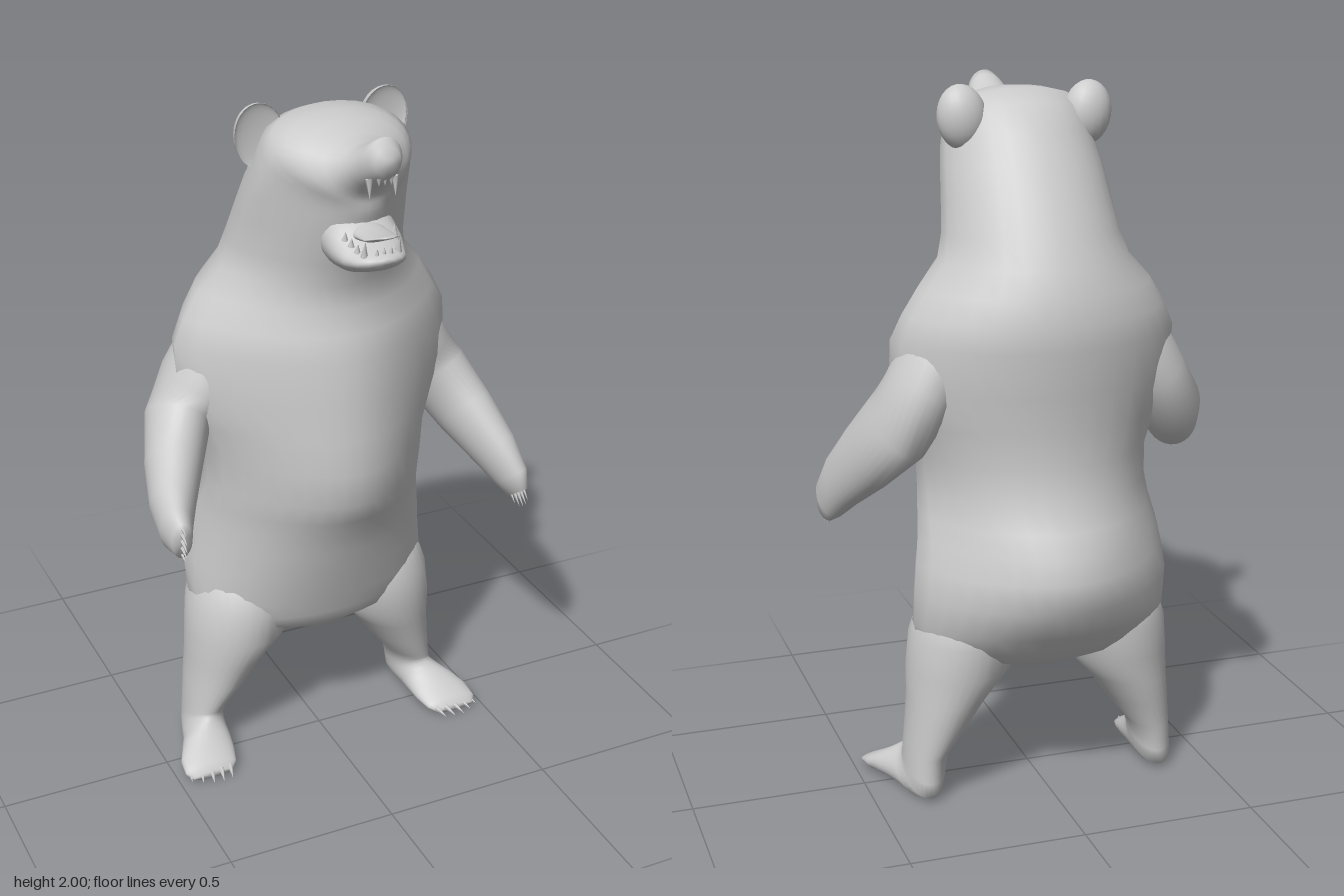
import * as THREE from 'three';

const V = (x, y, z) => new THREE.Vector3(x, y, z);
const X = V(1, 0, 0), Y = V(0, 1, 0);
const grey = new THREE.MeshStandardMaterial({ color: 0xcccccc });
const SEG = 32;

function add(group, name, geometry) {
  const mesh = new THREE.Mesh(geometry, grey);
  mesh.name = name;
  group.add(mesh);
  return mesh;
}

// Oval around c; kf and kb narrow it toward +u and -u
function section(c, u, v, ru, rv, kf = 0, kb = 0) {
  return Array.from({ length: SEG }, (_, j) => {
    const a = (j / SEG) * Math.PI * 2, s = Math.cos(a);
    const t = Math.sin(a) * (1 - kf * Math.max(0, s) - kb * Math.max(0, -s));
    return c.clone().addScaledVector(u, ru * s).addScaledVector(v, rv * t);
  });
}

// Closed skin over a list of sections running along u x v
function loft(rings) {
  const pos = [], idx = [];
  rings.forEach((r) => r.forEach((q) => pos.push(q.x, q.y, q.z)));
  for (let i = 0; i < rings.length - 1; i++) {
    for (let j = 0; j < SEG; j++) {
      const k = (j + 1) % SEG, a = i * SEG + j, b = i * SEG + k;
      idx.push(a, b, a + SEG, b, b + SEG, a + SEG);
    }
  }
  [0, rings.length - 1].forEach((i) => {
    const m = rings[i].reduce((s, q) => s.add(q), V(0, 0, 0)).divideScalar(SEG);
    const c = pos.length / 3;
    pos.push(m.x, m.y, m.z);
    for (let j = 0; j < SEG; j++) {
      const a = i * SEG + j, b = i * SEG + ((j + 1) % SEG);
      if (i === 0) idx.push(c, b, a);
      else idx.push(c, a, b);
    }
  });
  const g = new THREE.BufferGeometry();
  g.setAttribute('position', new THREE.Float32BufferAttribute(pos, 3));
  g.setIndex(idx);
  g.computeVertexNormals();
  return g;
}

// Rows: centre x, half width, front z, front y, back z, back y, narrowing front and back
const skin = (rows) => loft(rows.map(([x, w, fz, fy, bz, by, kf, kb]) => {
  const f = V(x, fy, fz), b = V(x, by, bz), u = f.clone().sub(b);
  const half = u.length() / 2;
  return section(f.add(b).multiplyScalar(0.5), u.normalize(), X, half, w, kf, kb);
}));

// Pointed cone from base in direction dir (claws and teeth)
function spike(group, name, base, dir, length, radius) {
  const m = add(group, name, new THREE.ConeGeometry(radius, length, 6));
  const d = dir.clone().normalize();
  m.quaternion.setFromUnitVectors(Y, d);
  m.position.copy(base).addScaledVector(d, length / 2);
}

// Rows: x, y, z, thickness across x, thickness along the other axis
function makeArm(name, rows) {
  const arm = new THREE.Group();
  arm.name = name;
  const c = rows.map((r) => V(r[0], r[1], r[2]));
  let d, v;
  const rings = rows.map((r, i) => {
    d = c[Math.min(i + 1, c.length - 1)].clone().sub(c[Math.max(i - 1, 0)]).normalize();
    v = d.clone().cross(X).normalize();
    return section(c[i], v.clone().cross(d), v, r[3], r[4]);
  });
  add(arm, 'armAndPaw', loft(rings));
  const tip = c[c.length - 1];
  for (let k = -2; k <= 2; k++) {
    const base = tip.clone().addScaledVector(v, k * 0.021).addScaledVector(d, -0.012 - 0.004 * k * k);
    spike(arm, 'claw', base, d.clone().add(V(0, -0.15, 0.1)), 0.06, 0.008);
  }
  return arm;
}

// One skin from the toes back to the heel and up to the hip
function makeLeg(name, s) {
  const leg = new THREE.Group();
  leg.name = name;
  add(leg, 'legAndFoot', skin([
    [0.404, 0.06, 0.13, 0.026, 0.13, 0.004], [0.401, 0.08, 0.112, 0.045, 0.108, 0.002],
    [0.392, 0.085, 0.068, 0.07, 0.055, 0], [0.378, 0.077, 0.032, 0.094, 0, 0],
    [0.366, 0.067, 0.016, 0.11, -0.07, 0], [0.357, 0.062, 0.008, 0.12, -0.14, 0],
    [0.35, 0.058, 0.005, 0.128, -0.185, 0.015], [0.346, 0.058, 0.006, 0.135, -0.192, 0.06],
    [0.34, 0.062, 0.01, 0.15, -0.19, 0.13], [0.305, 0.09, 0.03, 0.22, -0.215, 0.22],
    [0.274, 0.115, 0.05, 0.3, -0.23, 0.3], [0.238, 0.15, 0.075, 0.38, -0.245, 0.38],
    [0.222, 0.156, 0.08, 0.48, -0.26, 0.48], [0.2, 0.14, 0.05, 0.6, -0.25, 0.6],
  ].map(([x, ...rest]) => [s * x, ...rest])));
  const d = V(s * 0.22, 0, 1).normalize(), side = Y.clone().cross(d);
  for (let k = -2; k <= 2; k++) {
    const base = V(s * 0.404, 0.022, 0.122 - 0.004 * k * k).addScaledVector(side, k * 0.03);
    spike(leg, 'claw', base, d.clone().add(V(0, -0.15, 0)), 0.05, 0.009);
  }
  return leg;
}

function makeMouthAndEars() {
  const head = new THREE.Group();
  head.name = 'mouthAndEars';
  add(head, 'lowerJaw', skin([
    [0, 0.07, 0.12, 1.62, 0.12, 1.74], [0, 0.1, 0.2, 1.605, 0.2, 1.775],
    [0, 0.104, 0.25, 1.6, 0.26, 1.77], [0, 0.1, 0.3, 1.61, 0.3, 1.738],
    [0, 0.088, 0.34, 1.626, 0.335, 1.705], [0, 0.07, 0.38, 1.643, 0.375, 1.695],
    [0, 0.048, 0.402, 1.657, 0.4, 1.692], [0, 0.02, 0.412, 1.67, 0.412, 1.685],
  ]));
  add(head, 'tongue', skin([
    [0, 0.04, 0.26, 1.705, 0.26, 1.75], [0, 0.048, 0.31, 1.7, 0.31, 1.738],
    [0, 0.045, 0.37, 1.718, 0.37, 1.736], [0, 0.03, 0.41, 1.737, 0.41, 1.748],
    [0, 0.012, 0.422, 1.742, 0.422, 1.748],
  ]));
  const down = V(0, -1, 0.1), up = V(0, 1, 0.15);
  for (const s of [-1, 1]) {
    spike(head, 'upperCanine', V(s * 0.036, 1.89, 0.372), down, 0.055, 0.01);
    spike(head, 'lowerCanine', V(s * 0.048, 1.685, 0.375), up, 0.045, 0.01);
    for (let k = 0; k < 3; k++) {
      spike(head, 'lowerMolar', V(s * (0.056 + k * 0.007), 1.69 + k * 0.01, 0.352 - k * 0.022), up, 0.025, 0.009);
    }
    // Cupped ear: the front half of a sphere folded inward
    const ear = new THREE.SphereGeometry(1, 20, 14);
    const p = ear.attributes.position;
    for (let i = 0; i < p.count; i++) if (p.getZ(i) > 0) p.setZ(i, -0.25 * p.getZ(i));
    ear.scale(0.07, 0.09, 0.06);
    ear.computeVertexNormals();
    const e = add(head, 'ear', ear);
    e.position.set(s * 0.179, 1.912, 0.022);
    e.rotation.z = -s * 0.15;
  }
  for (let k = -1; k <= 1; k++) {
    spike(head, 'upperIncisor', V(k * 0.017, 1.895, 0.388), down, 0.022, 0.008);
    spike(head, 'lowerIncisor', V(k * 0.02, 1.685, 0.39), up, 0.025, 0.008);
  }
  return head;
}

export function createModel() {
  const bear = new THREE.Group();
  bear.name = 'bear';

  // Torso rows: height, half width, front z, back z, narrowing front and back
  const torso = [
    [0.372, 0.06, 0.0, -0.12, 0, 0], [0.385, 0.15, 0.05, -0.19, 0, 0], [0.42, 0.3, 0.085, -0.25, 0, 0],
    [0.46, 0.355, 0.1, -0.29, 0, 0.05], [0.52, 0.373, 0.12, -0.345, 0, 0.12],
    [0.62, 0.375, 0.155, -0.42, 0.08, 0.25], [0.7, 0.366, 0.18, -0.415, 0.12, 0.28],
    [0.77, 0.355, 0.205, -0.4, 0.18, 0.28], [0.83, 0.345, 0.235, -0.365, 0.24, 0.2],
    [0.9, 0.335, 0.27, -0.33, 0.3, 0.1], [1.0, 0.335, 0.277, -0.312, 0.3, 0.03],
    [1.1, 0.37, 0.27, -0.317, 0.35, 0.05], [1.2, 0.41, 0.26, -0.325, 0.4, 0.1],
    [1.33, 0.41, 0.25, -0.345, 0.35, 0.1], [1.4, 0.378, 0.23, -0.34, 0.3, 0.1],
    [1.47, 0.335, 0.21, -0.33, 0.25, 0.1], [1.54, 0.272, 0.215, -0.3, 0.2, 0.05],
    [1.61, 0.25, 0.245, -0.268, 0.25, 0], [1.7, 0.238, 0.28, -0.22, 0.3, 0],
  ].map(([y, w, f, b, kf, kb]) => [0, w, f, y, b, y, kf, kb]);
  // Head rows swing about the corner of the mouth and run out to the nose
  const skull = [
    [0.228, 0.298, 1.755, -0.16, 1.8, 0.35, 0], [0.217, 0.302, 1.769, -0.1, 1.885, 0.35, 0],
    [0.204, 0.304, 1.779, -0.045, 1.955, 0.32, -0.1], [0.188, 0.305, 1.789, 0.03, 1.985, 0.28, -0.25],
    [0.165, 0.306, 1.798, 0.1, 1.985, 0.2, -0.25], [0.137, 0.307, 1.807, 0.17, 1.978, 0.1, -0.2],
    [0.106, 0.311, 1.818, 0.225, 1.958, 0, -0.1], [0.084, 0.32, 1.832, 0.28, 1.953, 0, 0],
    [0.069, 0.338, 1.85, 0.325, 1.966, 0, 0], [0.057, 0.366, 1.868, 0.36, 1.988, 0, 0],
    [0.048, 0.39, 1.885, 0.385, 1.998, 0, 0], [0.035, 0.408, 1.905, 0.403, 1.975, 0, 0],
    [0.012, 0.414, 1.93, 0.412, 1.95, 0, 0],
  ].map((row) => [0, ...row]);
  add(bear, 'bodyAndHead', skin([...torso, ...skull]));
  bear.add(makeMouthAndEars());

  // Upper arm grows out of the torso, then a lowered left and a raised right forearm
  const shoulder = (s) => [
    [s * 0.2, 1.42, -0.06, 0.07, 0.09], [s * 0.255, 1.32, -0.065, 0.115, 0.135],
    [s * 0.335, 1.19, -0.085, 0.103, 0.135],
  ];
  bear.add(makeArm('leftArm', [...shoulder(1),
    [0.4, 1.095, -0.075, 0.092, 0.13], [0.457, 0.99, 0.025, 0.08, 0.108], [0.507, 0.895, 0.12, 0.062, 0.088],
    [0.535, 0.825, 0.178, 0.043, 0.072], [0.543, 0.785, 0.205, 0.025, 0.048]]));
  bear.add(makeArm('rightArm', [...shoulder(-1),
    [-0.402, 1.1, -0.065, 0.092, 0.125], [-0.46, 1.025, 0.05, 0.08, 0.1], [-0.51, 0.975, 0.17, 0.063, 0.083],
    [-0.535, 0.952, 0.26, 0.045, 0.075], [-0.54, 0.945, 0.315, 0.028, 0.055]]));

  bear.add(makeLeg('leftLeg', 1), makeLeg('rightLeg', -1));
  return bear;
}
